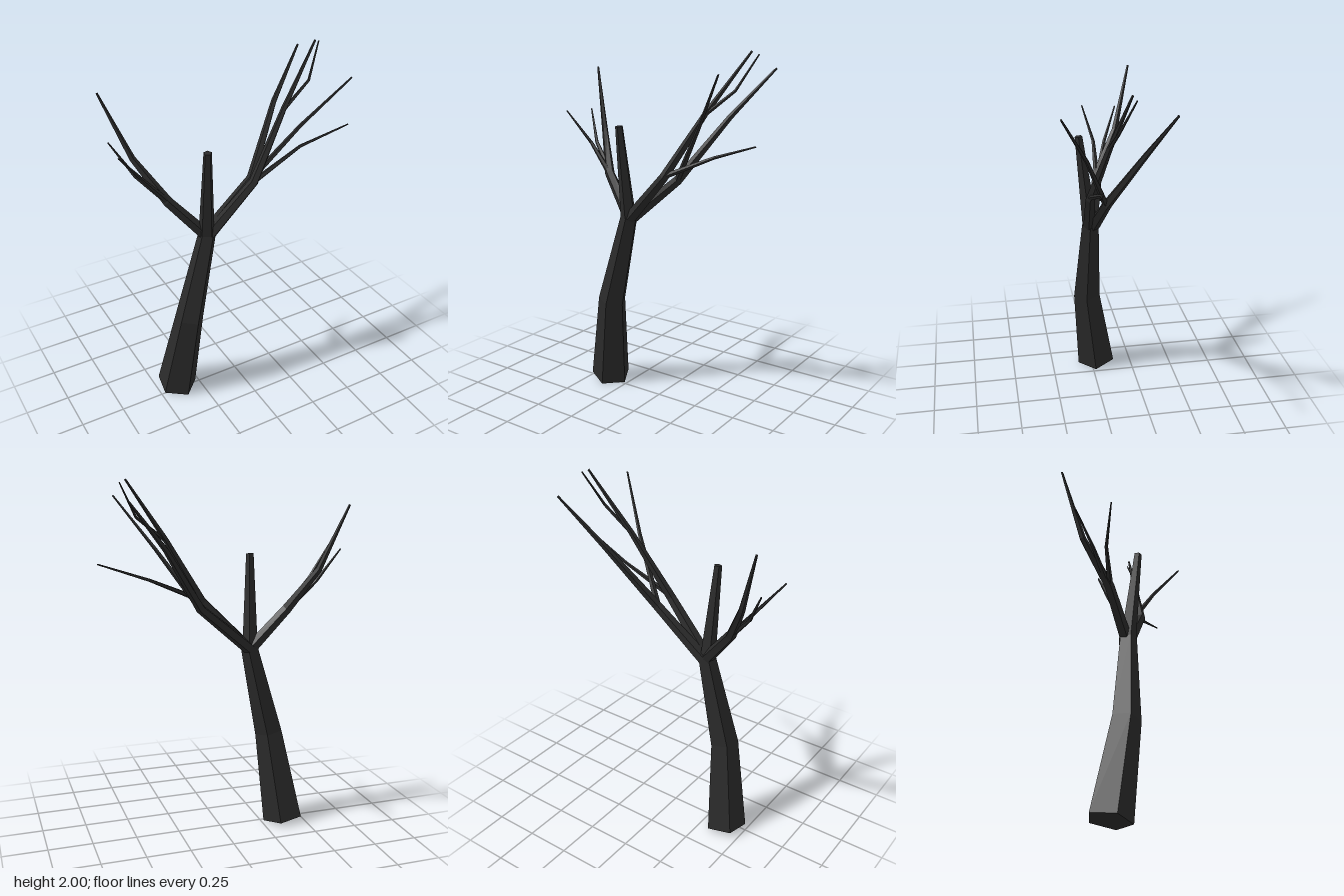
import * as THREE from 'three';

const SIDES = 5;

// Tapered five-sided limb; each node is [x, y, z, radius]
function limbGeometry(nodes) {
  const pts = nodes.map(n => new THREE.Vector3(n[0], n[1], n[2]));
  const last = pts.length - 1;
  const a0 = THREE.MathUtils.degToRad(80);
  const ref = new THREE.Vector3(Math.cos(a0), 0, Math.sin(a0));
  // one ring per node, square to the mean direction of its neighbours
  const rings = pts.map((p, i) => {
    const d = new THREE.Vector3();
    if (i > 0) d.add(p.clone().sub(pts[i - 1]).normalize());
    if (i < last) d.add(pts[i + 1].clone().sub(p).normalize());
    d.normalize();
    const u = ref.clone().addScaledVector(d, -ref.dot(d)).normalize();
    const v = d.clone().cross(u);
    return Array.from({ length: SIDES }, (_, j) => {
      const a = (j / SIDES) * Math.PI * 2;
      return p.clone()
        .addScaledVector(u, Math.cos(a) * nodes[i][3])
        .addScaledVector(v, Math.sin(a) * nodes[i][3]);
    });
  });
  const out = [];
  const tri = (a, b, c) => out.push(a, b, c);
  for (let j = 0; j < SIDES; j++) {
    const k = (j + 1) % SIDES;
    for (let i = 0; i < last; i++) {
      tri(rings[i][j], rings[i][k], rings[i + 1][k]);
      tri(rings[i][j], rings[i + 1][k], rings[i + 1][j]);
    }
    // end caps
    tri(pts[0], rings[0][k], rings[0][j]);
    tri(pts[last], rings[last][j], rings[last][k]);
  }
  const geo = new THREE.BufferGeometry().setFromPoints(out);
  geo.computeVertexNormals();
  return geo;
}

export function createModel() {
  const tree = new THREE.Group();
  tree.name = 'bareTree';
  const bark = new THREE.MeshStandardMaterial({ color: 0x2a2a2a, flatShading: true });
  bark.name = 'charredBark';

  const parts = {
    // trunk and the broken leader above the fork
    trunk: [[-0.383, 0.016, -0.033, 0.118], [-0.312, 0.54, 0.033, 0.082], [-0.185, 1.06, 0.028, 0.05]],
    brokenLeader: [[-0.19, 1.05, 0.028, 0.046], [-0.205, 1.58, 0.088, 0.022]],
    // limb and twigs on the model's right
    rightLimb: [[-0.19, 1.05, 0.02, 0.036], [-0.38, 1.28, -0.045, 0.029], [-0.51, 1.51, -0.17, 0.018], [-0.632, 1.86, -0.268, 0.006]],
    rightTwigFront: [[-0.37, 1.27, -0.04, 0.018], [-0.51, 1.445, -0.042, 0.01], [-0.65, 1.625, 0.005, 0.004]],
    rightTwigBack: [[-0.38, 1.28, -0.05, 0.018], [-0.525, 1.44, -0.11, 0.01], [-0.625, 1.62, -0.19, 0.004]],
    // back limb and twig on the model's left
    leftBackLimb: [[-0.18, 1.05, 0.01, 0.036], [0.115, 1.3, -0.016, 0.027], [0.345, 1.645, -0.17, 0.016], [0.555, 1.9, -0.27, 0.006]],
    leftBackTwig: [[0.115, 1.3, -0.01, 0.018], [0.33, 1.62, 0.12, 0.011], [0.525, 1.9, 0.268, 0.005]],
    // front limb and twigs on the model's left
    leftFrontLimb: [[-0.18, 1.05, 0.035, 0.036], [0.08, 1.325, 0.068, 0.027], [0.3, 1.68, 0.003, 0.016], [0.522, 1.995, -0.06, 0.006]],
    leftFrontTwigHigh: [[0.295, 1.67, 0.005, 0.011], [0.46, 1.8, -0.012, 0.008], [0.555, 1.98, -0.075, 0.004]],
    leftFrontTwigLow: [[0.08, 1.33, 0.07, 0.016], [0.38, 1.46, 0.055, 0.009], [0.65, 1.55, 0.11, 0.004]],
  };
  for (const [name, nodes] of Object.entries(parts)) {
    const mesh = new THREE.Mesh(limbGeometry(nodes), bark);
    mesh.name = name;
    tree.add(mesh);
  }
  return tree;
}
